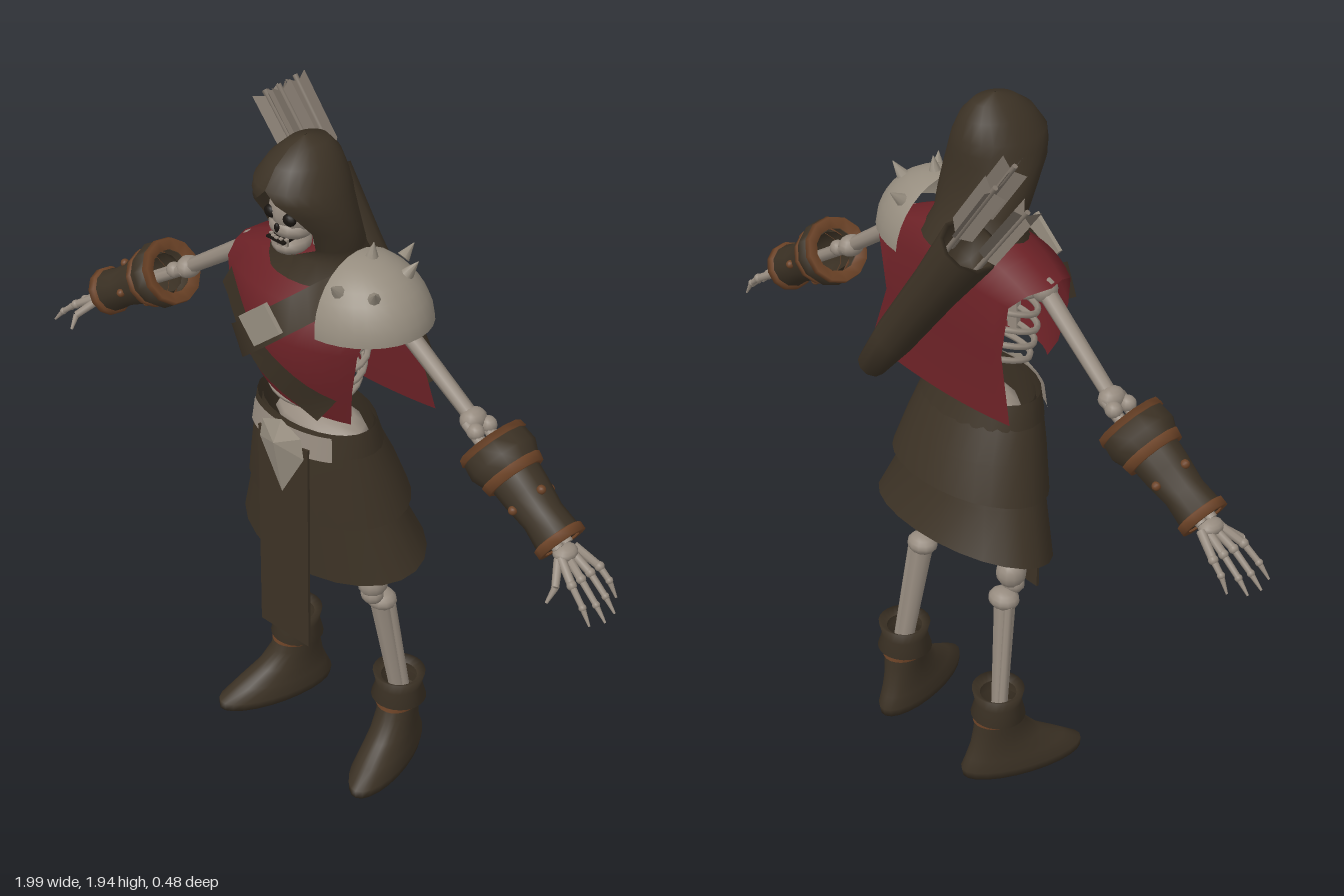
import * as THREE from 'three';
import { ConvexGeometry } from 'three/addons/geometries/ConvexGeometry.js';

const mat = (name, color) => new THREE.MeshStandardMaterial({ name, color, side: THREE.DoubleSide });
const V = (x, y, z) => new THREE.Vector3(x, y, z);
const UP = V(0, 1, 0);

export function createModel() {
  const root = new THREE.Group();
  const bone = mat('bone', 0x968b7f), cloth = mat('dark cloth', 0x3c3225), red = mat('red cloth', 0x6b2126);
  const leather = mat('tan leather', 0x6b4226), metal = mat('pale metal', 0x968d7f);
  const feather = mat('feather', 0x80766b), shadow = mat('socket black', 0x17130f);

  const add = (name, geo, m, parent = root) => {
    const mesh = new THREE.Mesh(geo, m);
    mesh.name = name;
    parent.add(mesh);
    return mesh;
  };
  // Stand an object on a with its y axis toward b
  const aim = (o, a, b) => {
    o.position.copy(a);
    o.quaternion.setFromUnitVectors(UP, b.clone().sub(a).normalize());
    return o;
  };
  const rod = (name, a, b, r0, r1, m = bone, parent = root) => {
    const len = a.distanceTo(b);
    return aim(add(name, new THREE.CylinderGeometry(r1, r0, len, 8).translate(0, len / 2, 0), m, parent), a, b);
  };
  const ball = (name, p, sx, sy, sz, m = bone, parent = root) => {
    const o = add(name, new THREE.SphereGeometry(1, 12, 8), m, parent);
    o.position.copy(p);
    o.scale.set(sx, sy, sz);
    return o;
  };
  const box = (name, p, w, h, d, m, parent = root) => {
    const o = add(name, new THREE.BoxGeometry(w, h, d), m, parent);
    o.position.copy(p);
    return o;
  };
  // Surface through rows of points, each row running left to right, rows bottom to top
  const grid = (rows, closed) => {
    const n = rows[0].length, idx = [];
    for (let i = 0; i < rows.length - 1; i++)
      for (let j = 0; j < (closed ? n : n - 1); j++) {
        const a = i * n + j, b = i * n + (j + 1) % n;
        idx.push(a, b, b + n, a, b + n, a + n);
      }
    const g = new THREE.BufferGeometry().setFromPoints(rows.flat());
    g.setIndex(idx);
    g.computeVertexNormals();
    return g;
  };
  // Oval row between two angles (0 = front); tilt lowers the front
  const arc = (y, w, zf, zb, a0 = 0, a1 = 2 * Math.PI, tilt = 0, n = 24) =>
    Array.from({ length: n + 1 }, (_, j) => {
      const t = a0 + (a1 - a0) * j / n, z = (zf + zb) / 2 + (zf - zb) / 2 * Math.cos(t);
      return V(w * Math.sin(t), y - tilt * z, z);
    });
  const ring = (...p) => arc(...p).slice(0, -1);

  // Hood with a face opening
  const hood = [[1.56, .16, .14, -.11, 0], [1.62, .13, .12, -.08, 0], [1.66, .14, .13, -.06, .55],
    [1.72, .14, .16, -.045, .65], [1.78, .13, .205, -.04, .55], [1.81, .12, .215, -.04, .25],
    [1.84, .11, .215, -.035, 0], [1.89, .08, .18, -.02, 0], [1.925, .045, .13, .01, 0], [1.94, .001, .08, .07, 0]];
  add('hood', grid(hood.map(([y, w, f, b, o]) => arc(y, w, f, b, o, 2 * Math.PI - o)), false), cloth);

  // Skull
  const head = new THREE.Group();
  head.name = 'skull';
  root.add(head);
  ball('cranium', V(0, 1.755, .085), .08, .08, .095, bone, head);
  ball('cheeks', V(0, 1.715, .125), .062, .035, .055, bone, head);
  ball('jaw', V(0, 1.665, .125), .048, .03, .055, bone, head);
  box('mouthGap', V(0, 1.69, .16), .06, .006, .05, shadow, head);
  for (const s of [-1, 1]) ball('eyeSocket', V(s * .032, 1.752, .165), .02, .017, .014, shadow, head);
  ball('noseHole', V(0, 1.722, .177), .008, .013, .006, shadow, head);
  for (let i = -2; i <= 2; i++) box('tooth', V(i * .013, 1.687, .178 - .002 * i * i), .01, .02, .008, bone, head);

  // Spine and ribs
  rod('spine', V(0, 1.0, .02), V(0, 1.64, .02), .022, .022);
  for (let i = 0; i < 10; i++) box('vertebra', V(0, 1.05 + i * .055, .01), .055, .025, .06, bone);
  for (let i = 0; i < 6; i++) {
    const y = 1.25 + i * .05, w = .13 + .035 * Math.sin(i * .6);
    const pts = ring(y, w, .15, -.055, 0, 2 * Math.PI, .3, 14);
    add('rib', new THREE.TubeGeometry(new THREE.CatmullRomCurve3(pts, true), 28, .009, 5, true), bone);
  }
  box('sternum', V(0, 1.36, .145), .035, .24, .015, bone);

  // Tunic: one cloth from front hem over the shoulders to back hem [z, y, half width, side drop]
  const path = [[.165, 1.22, .18, 0], [.195, 1.3, .2, 0], [.21, 1.42, .225, 0], [.18, 1.52, .25, .01],
    [.1, 1.59, .27, .06], [.02, 1.615, .285, .085], [-.06, 1.59, .275, .06], [-.1, 1.5, .25, 0],
    [-.1, 1.35, .225, 0], [-.115, 1.155, .275, -.02]];
  const tunic = path.map(([z, y, w, drop], i) => Array.from({ length: 13 }, (_, j) => {
    const s = j / 6 - 1, front = Math.max(0, z);
    return V(s * w, y - drop * s * s - (i === 0 ? .035 * s : 0), z - .4 * front * s * s);
  }));
  add('tunic', grid(tunic, false), red);

  // Chest straps follow the tunic front
  const frontZ = (x, y) => {
    let i = 0;
    while (i < 3 && path[i + 1][1] < y) i++;
    const [a, b] = [path[i], path[i + 1]], t = THREE.MathUtils.clamp((y - a[1]) / (b[1] - a[1]), 0, 1);
    const z = a[0] + (b[0] - a[0]) * t, s = x / (a[2] + (b[2] - a[2]) * t);
    return z * (1 - .4 * Math.min(1, s * s));
  };
  const strap = (name, a, b, w0, w1, lift) => {
    const d = b.clone().sub(a).normalize(), rows = [[], []];
    for (let j = 0; j <= 12; j++) {
      const c = a.clone().lerp(b, j / 12), w = w0 + (w1 - w0) * j / 12;
      [-1, 1].forEach((k, r) => {
        const x = c.x - d.y * w * k, y = c.y + d.x * w * k;
        rows[r].push(V(x, y, frontZ(x, y) + lift));
      });
    }
    add(name, grid(rows, false), cloth);
  };
  strap('lowerStrap', V(-.22, 1.48, 0), V(.14, 1.23, 0), .045, .05, .012);
  strap('quiverStrap', V(-.17, 1.31, 0), V(.15, 1.58, 0), .045, .04, .022);
  box('buckle', V(.0, 1.47, .238), .12, .085, .012, metal).rotation.z = .7;

  // Skirt, overskirt, flap and waist
  const skirt = [[.7, .3, .145, -.2], [.86, .24, .15, -.15], [1.0, .2, .15, -.11], [1.13, .175, .14, -.07]];
  add('skirt', grid(skirt.map(([y, w, f, b]) => ring(y, w, f, b, 0, 2 * Math.PI, y < .8 ? .25 : 0)), true), cloth);
  const over = [[.87, .255, .16, -.175], [.99, .222, .165, -.14], [1.1, .19, .16, -.085]];
  add('overskirt', grid(over.map(([y, w, f, b]) => arc(y, w, f, b, .45, 2 * Math.PI - .45, y < .9 ? .15 : 0)), false), cloth);
  add('waistband', grid([[1.07, .2, .165, -.1], [1.14, .187, .155, -.075]].map(p => ring(...p)), true), cloth);
  box('frontFlap', V(0, .765, .162), .18, .65, .008, cloth);
  add('beltPlates', grid([[1.065, .205, .175, -.1], [1.135, .195, .165, -.08]].map(p => arc(...p, -.8, .8)), false), bone);
  add('beltShield', new ConvexGeometry([V(0, 1.15, .17), V(.07, 1.12, .17), V(.08, 1.06, .17), V(0, .92, .17),
    V(-.08, 1.06, .17), V(-.07, 1.12, .17), V(0, 1.09, .2)]), metal);
  ball('pelvis', V(0, 1.08, .02), .15, .05, .085);

  // Pauldron with spikes
  const pauldron = new THREE.Group();
  pauldron.name = 'pauldron';
  pauldron.position.set(.165, 1.49, .05);
  pauldron.rotation.z = .09;
  root.add(pauldron);
  add('shell', new THREE.SphereGeometry(1, 16, 8, Math.PI / 2, Math.PI, 0, Math.PI / 2).scale(.2, .175, .165), metal, pauldron);
  for (const [x, y, z] of [[.04, .165, -.01], [.04, .12, .11], [.12, .13, -.05], [.04, .12, -.12], [.12, .11, .07]]) {
    const p = V(x, y, z), n = V(x / .04, y / .031, z / .027).normalize();
    rod('spike', p, p.clone().addScaledVector(n, .045), .018, .001, metal, pauldron);
  }

  // Quiver with three arrows
  const quiver = new THREE.Group(), qa = V(.18, 1.18, -.19), qb = V(-.17, 1.66, -.16);
  quiver.name = 'quiver';
  root.add(aim(quiver, qa, qb));
  add('quiverCase', new THREE.LatheGeometry([[0, 0], [.04, 0], [.055, .15], [.065, .4], [.08, .6], [.068, .6], [.06, .5], [0, .5]]
    .map(p => new THREE.Vector2(...p)), 10), cloth, quiver);
  for (const [x, z] of [[-.045, 0], [.04, .03], [.015, -.035]]) {
    const arrow = new THREE.Group();
    arrow.name = 'arrow';
    arrow.position.set(x, 0, z);
    arrow.rotation.set(z * .5, x * 9, -x * .5);
    quiver.add(arrow);
    rod('arrowShaft', V(0, .45, 0), V(0, .86, 0), .007, .007, feather, arrow);
    const vane = new THREE.Shape([[0, .63], [.038, .67], [.038, .86], [0, .84]].map(p => new THREE.Vector2(...p)));
    for (let k = 0; k < 4; k++) add('fletching', new THREE.ShapeGeometry(vane), feather, arrow).rotation.y = k * Math.PI / 2;
  }

  for (const s of [-1, 1]) {
    // Arm bones
    const P = (x, y, z) => V(s * x, y, z);
    const shoulder = P(.25, 1.51, .02), elbow = P(.51, 1.32, .01), wrist = P(.83, 1.11, .03);
    ball('shoulderJoint', shoulder, .035, .035, .035);
    rod('upperArm', shoulder, elbow, .024, .02);
    ball('elbow', elbow, .032, .03, .038);
    for (const z of [-.022, .025]) {
      rod('forearm', elbow.clone().add(V(0, 0, z)), wrist.clone().add(V(0, 0, z * .7)), .016, .016);
      ball('elbowKnob', elbow.clone().add(V(s * .03, -.012, z)), .024, .022, .022);
    }

    // Bracer
    const bracer = new THREE.Group();
    bracer.name = 'bracer';
    root.add(aim(bracer, P(.575, 1.28, .012), wrist));
    const turn = (name, pts, m) => add(name, new THREE.LatheGeometry(pts.map(p => new THREE.Vector2(...p)), 12), m, bracer);
    turn('bracerSleeve', [[.055, .03], [.07, .07], [.064, .15], [.055, .22], [.062, .295], [.045, .295]], cloth);
    turn('bracerCuff', [[.06, .01], [.088, 0], [.094, .05], [.075, .095]], cloth);
    turn('cuffTrim', [[.07, .085], [.085, .08], [.08, .105], [.066, .105]], leather);
    turn('topTrim', [[.06, .005], [.09, -.008], [.094, .01], [.08, .012]], leather);
    turn('wristTrim', [[.056, .275], [.068, .28], [.068, .302], [.05, .302]], leather);
    for (let k = 0; k < 4; k++) {
      const t = k * Math.PI / 2;
      ball('stud', V(.062 * Math.sin(t), .17, .062 * Math.cos(t)), .012, .012, .012, leather, bracer);
    }

    // Hand bones
    ball('wrist', wrist.clone().add(V(s * .01, -.01, .005)), .03, .02, .035);
    for (let i = 0; i < 4; i++) {
      const z = .085 - i * .035, reach = [0, .015, .01, -.02][i];
      const a = P(.84, 1.1, .055 - i * .018), b = P(.905, 1.06, z);
      const c = P(.95 + reach * .7, 1.022 - reach * .5, z * 1.12), d = P(.98 + reach, .985 - reach * .3, z * 1.2);
      rod('palmBone', a, b, .012, .011);
      ball('knuckle', b, .013, .013, .013);
      rod('finger', b, c, .009, .008);
      ball('fingerJoint', c, .01, .01, .01);
      rod('fingertip', c, d, .008, .003);
    }
    rod('thumb', P(.84, 1.09, .06), P(.875, 1.05, .11), .012, .01);
    rod('thumbTip', P(.875, 1.05, .11), P(.87, 1.015, .135), .009, .004);

    // Leg bones
    rod('thigh', P(.1, 1.04, .02), P(.165, .63, .0), .032, .027);
    ball('kneeUpper', P(.165, .61, -.005), .042, .045, .042);
    ball('kneecap', P(.168, .575, .0), .034, .03, .03);
    ball('kneeLower', P(.17, .54, -.035), .046, .03, .04);
    rod('shin', P(.17, .55, -.03), P(.2, .22, -.075), .032, .024);
    rod('calfBone', P(.2, .53, -.045), P(.222, .22, -.085), .012, .012);

    // Boot
    const boot = new THREE.Group();
    boot.name = 'boot';
    boot.position.set(s * .2, 0, -.08);
    boot.rotation.y = s * .28;
    root.add(boot);
    const rows = [[0, .001, .05, .04], [0, .066, .255, -.105], [.025, .07, .255, -.11], [.06, .062, .2, -.095],
      [.1, .056, .13, -.08], [.15, .054, .08, -.07], [.22, .06, .065, -.065]];
    add('bootFoot', grid(rows.map(r => ring(...r)), true), cloth, boot);
    add('bootCuff', grid([[.185, .058, .06, -.06], [.19, .078, .075, -.075], [.235, .064, .064, -.064], [.275, .074, .072, -.072],
      [.26, .05, .05, -.05]].map(r => ring(...r)), true), cloth, boot);
    add('ankleTrim', grid([[.175, .06, .075, -.072], [.188, .062, .072, -.07]].map(r => ring(...r)), true), leather, boot);
  }
  return root;
}
